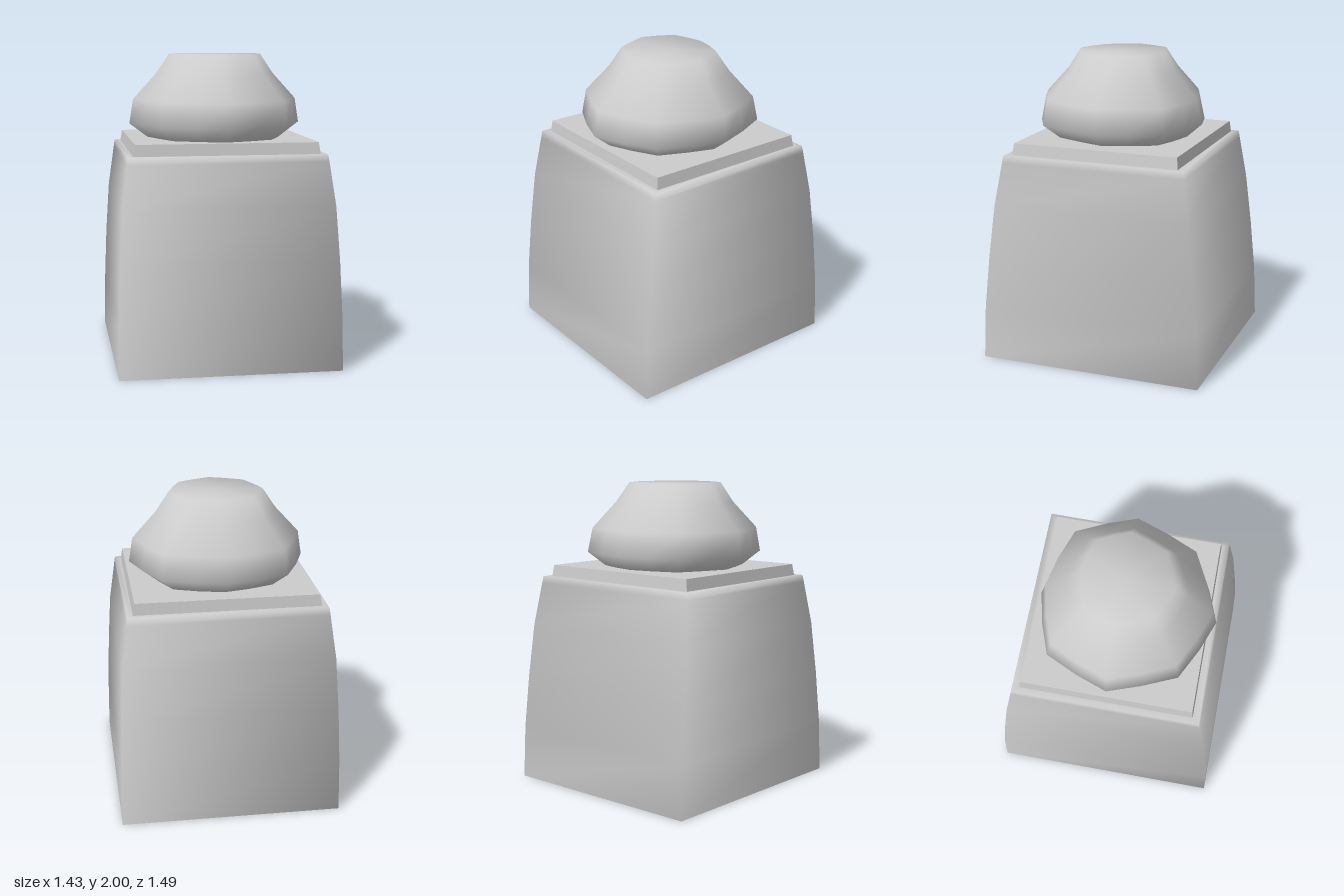
import * as THREE from 'three';

// Skin a stack of equal-length rings of [x, y, z], ordered bottom to top,
// and close the last ring with a fan.
function loft(rings) {
  const n = rings[0].length;
  const pos = rings.flat(2);
  const index = [];
  for (let r = 0; r < rings.length - 1; r++) {
    for (let i = 0; i < n; i++) {
      const j = (i + 1) % n;
      const a = r * n + i, b = r * n + j, c = b + n, d = a + n;
      index.push(a, b, c, a, c, d);
    }
  }
  const last = rings[rings.length - 1];
  const centre = [0, 1, 2].map(k => last.reduce((s, p) => s + p[k], 0) / n);
  pos.push(...centre);
  const base = (rings.length - 1) * n;
  for (let i = 0; i < n; i++) index.push(base + i, base + (i + 1) % n, rings.length * n);
  const geometry = new THREE.BufferGeometry();
  geometry.setAttribute('position', new THREE.Float32BufferAttribute(pos, 3));
  geometry.setIndex(index);
  geometry.computeVertexNormals();
  return geometry;
}

// Rectangular ring with half width x and half depth z
const rect = ([y, x, z]) => [[-x, y, z], [x, y, z], [x, y, -z], [-x, y, -z]];

// Plan of the knob for one half, front to back, as fractions of its radii
const plan = [
  [0, 1], [0.35, 0.875], [0.705, 0.705], [0.87, 0.35], [1, 0],
  [0.875, -0.38], [0.705, -0.775], [0.35, -0.915], [0, -1],
];
const outline = [...plan, ...plan.slice(1, -1).reverse().map(([x, z]) => [-x, z])];

// Knob ring: half width, front reach and back reach at a height
const knobRing = ([y, x, front, back]) =>
  outline.map(([u, v]) => [u * x, y, v * (v > 0 ? front : back)]);

export function createModel() {
  const group = new THREE.Group();
  const add = (name, geometry, options = {}) => {
    const mesh = new THREE.Mesh(geometry,
      new THREE.MeshStandardMaterial({ color: 0xcccccc, ...options }));
    mesh.name = name;
    group.add(mesh);
  };

  // Tapering post, open underneath, with a soft shoulder
  add('post', loft([
    [0, 0.715, 0.743], [0.35, 0.71, 0.728], [0.7, 0.698, 0.695],
    [1.05, 0.678, 0.655], [1.33, 0.641, 0.611], [1.375, 0.635, 0.603],
    [1.375, 0.6, 0.56],
  ].map(rect)), { side: THREE.DoubleSide });

  // Thin slab on the shoulder
  add('slab', loft([[1.375, 0.597, 0.558], [1.45, 0.585, 0.55]].map(rect)),
    { flatShading: true });

  // Faceted-outline knob with smooth shading and a flat top
  add('knob', loft([
    [1.45, 0.455, 0.49, 0.425], [1.54, 0.575, 0.603, 0.527],
    [1.7, 0.55, 0.57, 0.49], [1.87, 0.395, 0.41, 0.345],
    [2, 0.308, 0.325, 0.258],
  ].map(knobRing)));

  return group;
}
